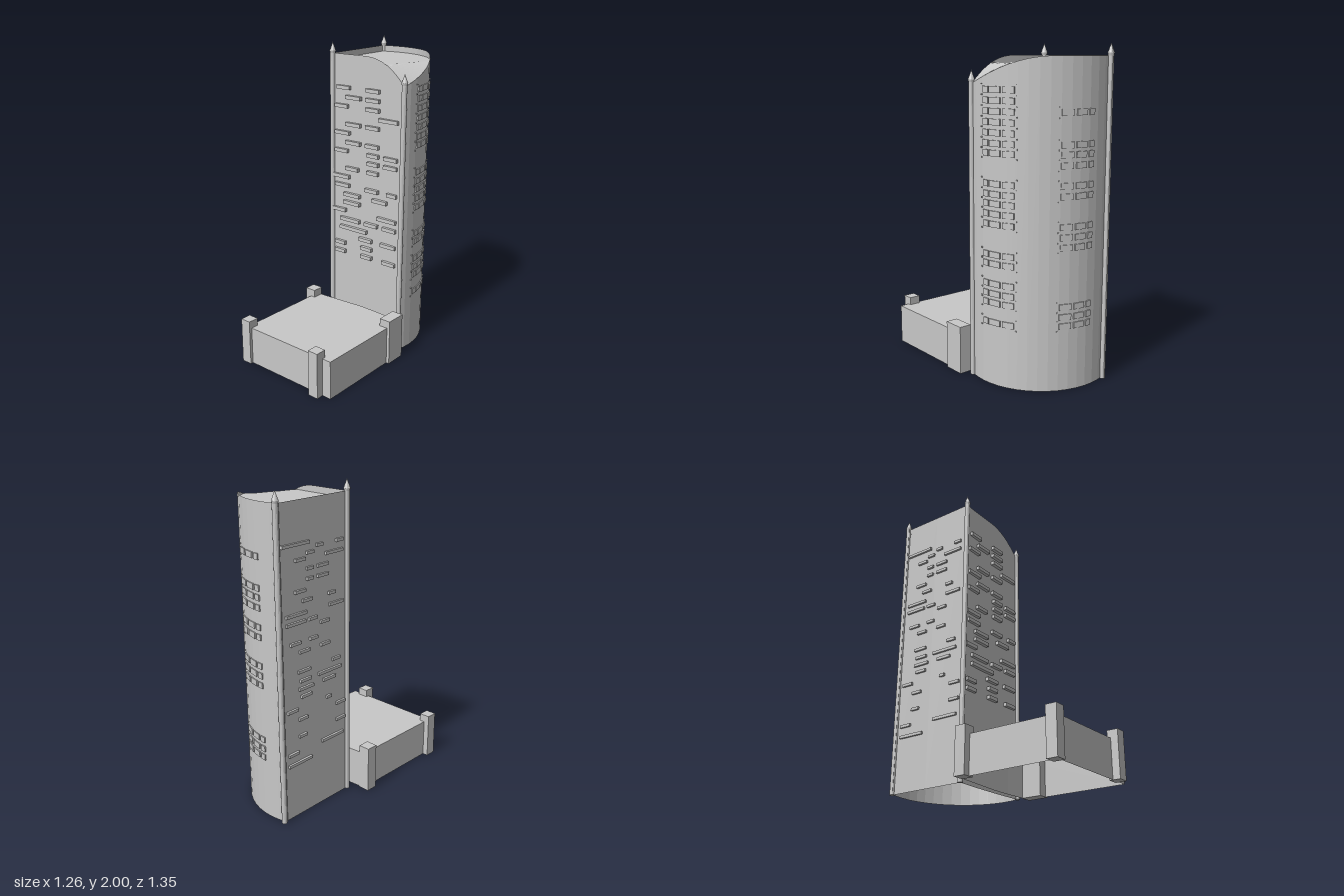
import * as THREE from 'three';

const stone = new THREE.MeshStandardMaterial({ color: 0xc8c8c8, flatShading: true, side: THREE.DoubleSide });
stone.name = 'paleStone';

// Plan corners as [x, z]
const A = [0.01, -0.28], B = [0.41, -0.655], C = [0.395, 0.135];
const TOP = 1.93, ARC_X = 0.184, ARC_Z = -0.26, ARC_R = 0.446;
const arcPoint = z => [ARC_X + Math.sqrt(Math.max(0, ARC_R ** 2 - (z - ARC_Z) ** 2)), z];

// Straight run between two plan points, bowed inwards by a small sag
function run(p, q, n, sag = 0) {
  const dx = q[0] - p[0], dz = q[1] - p[1], l = Math.hypot(dx, dz);
  return Array.from({ length: n + 1 }, (_, i) => {
    const t = i / n, s = 4 * t * (1 - t) * sag;
    return [p[0] + dx * t + dz / l * s, p[1] + dz * t - dx / l * s];
  });
}

// x on a plan polyline for a given z
function xAt(poly, z) {
  for (let i = 0; i < poly.length - 1; i++) {
    const [p, q] = [poly[i], poly[i + 1]];
    if ((z - p[1]) * (z - q[1]) <= 0) return p[0] + (q[0] - p[0]) * (z - p[1]) / (q[1] - p[1]);
  }
  return poly[Math.abs(z - poly[0][1]) < 0.01 ? 0 : poly.length - 1][0];
}

function meshFrom(pos, index, name) {
  const g = new THREE.BufferGeometry();
  g.setAttribute('position', new THREE.Float32BufferAttribute(pos, 3));
  g.setIndex(index);
  g.computeVertexNormals();
  return named(g, name);
}

function named(geometry, name) {
  const m = new THREE.Mesh(geometry, stone);
  m.name = name;
  return m;
}

// Upright wall above a plan polyline, with its top edge set by a rule
function wall(points, height, name) {
  const pos = [], index = [];
  points.forEach(([x, z], i) => {
    pos.push(x, 0, z, x, height(z), z);
    if (i) {
      const a = 2 * i - 2;
      index.push(a, a + 2, a + 3, a, a + 3, a + 1);
    }
  });
  return meshFrom(pos, index, name);
}

// Block lying along the wall from p to q, standing out by a given amount
function block(p, q, y, h, out, name) {
  const dx = q[0] - p[0], dz = q[1] - p[1], l = Math.hypot(dx, dz), d = out + 0.012;
  const m = named(new THREE.BoxGeometry(l, h, d), name), s = out - d / 2;
  m.position.set((p[0] + q[0]) / 2 - dz / l * s, y, (p[1] + q[1]) / 2 + dx / l * s);
  m.rotation.y = Math.atan2(-dz, dx);
  return m;
}

function createTower() {
  const tower = new THREE.Group();
  tower.name = 'tower';
  const drop = (z, start, power) => TOP - 0.16 * Math.max(0, (z - start) / (C[1] - start)) ** power;
  const frontRim = z => drop(z, -0.1, 2.2), arcRim = z => drop(z, -0.34, 2);
  const front = run(A, C, 16, 0.008), back = run(B, A, 2);
  const half = Math.asin((C[1] - ARC_Z) / ARC_R), N = 16;
  const arc = Array.from({ length: N + 1 }, (_, i) => {
    const a = half * (1 - 2 * i / N);
    return [ARC_X + ARC_R * Math.cos(a), ARC_Z + ARC_R * Math.sin(a)];
  });
  tower.add(wall(front, frontRim, 'frontWall'), wall(arc, arcRim, 'curvedWall'), wall(back, () => TOP, 'backWall'));

  // Sloping roof, sunk behind the rim at the back
  const pos = [], index = [], rows = 30, cols = 8;
  for (let i = 0; i <= rows; i++) {
    const z = C[1] + (B[1] - C[1]) * i / rows;
    const x0 = xAt(z > A[1] ? front : back, z), x1 = xAt(arc, z);
    for (let j = 0; j <= cols; j++) {
      const t = j / cols;
      pos.push(x0 + (x1 - x0) * t, Math.min(1.89, frontRim(z) * (1 - t) + arcRim(z) * t), z);
      if (i < rows && j < cols) {
        const a = i * (cols + 1) + j, c = a + cols + 1;
        index.push(a, a + 1, c + 1, a, c + 1, c);
      }
    }
  }
  const roof = meshFrom(pos, index, 'roof');
  tower.add(roof);

  // Corner columns with pointed tips
  for (const [[x, z], h] of [[A, TOP], [B, TOP], [C, 1.78]]) {
    const profile = [[0, 0], [0.017, 0], [0.017, h], [0.02, h + 0.015], [0, h + 0.07]];
    const column = named(new THREE.LatheGeometry(profile.map(p => new THREE.Vector2(...p)), 12), 'cornerColumn');
    column.position.set(x, 0, z);
    tower.add(column);
  }
  return tower;
}

// Scattered ledges: each row is a height followed by start, end pairs in hundredths
const frontLedges = [
  [172, 4, 11, 20, 27], [166, 9, 17, 20, 27], [160, 3, 10, 20, 27], [154.5, 27, 37], [148.5, 9, 17, 20, 27],
  [142.5, 3, 11], [136.5, 9, 17, 20, 27], [130.5, 3, 10, 21, 27, 30, 37], [125, 21, 27, 30, 37],
  [119, 9, 16, 21, 27], [113, 2, 11], [107, 3, 11, 20, 27, 32, 37], [101, 8, 17, 24, 32], [95.5, 8, 17],
  [89.5, 2, 9, 27, 37], [83.5, 6, 17, 20, 27, 30, 37], [77.5, 6, 21], [72, 17, 24, 29, 37],
  [66, 3, 9, 18, 24], [60, 3, 9, 18, 24, 30, 37]];
const backLedges = [
  [169, 5, 43], [166, 53, 62, 82, 92], [163, 39, 49], [160, 23, 37, 66, 92], [154, 39, 48, 54, 70],
  [148, 39, 48, 54, 70], [142, 22, 37], [136, 32, 46, 70, 80], [129, 9, 38, 71, 92], [124, 9, 36, 41, 53],
  [120, 58, 71], [112, 14, 29, 42, 53], [106, 27, 41, 58, 71], [94, 24, 42, 75, 87], [88, 27, 43, 54, 89],
  [83, 25, 46, 61, 80], [78, 28, 43], [71, 8, 23, 66, 73], [64, 24, 37, 81, 95], [53, 24, 35, 81, 95],
  [43, 8, 23, 58, 92], [36, 8, 42]];

function addLedges(group, rows, from, to, fraction, out, h) {
  const at = v => [from[0] + (to[0] - from[0]) * fraction(v), from[1] + (to[1] - from[1]) * fraction(v)];
  for (const [y, ...spans] of rows)
    for (let i = 0; i < spans.length; i += 2)
      group.add(block(at(spans[i]), at(spans[i + 1]), y / 100, h, out, 'wallLedge'));
}

// Rows of three panes with small studs on the curved wall
const bays = [
  { panes: [[0.058, 0.028], [0.022, -0.042], [-0.055, -0.122]], studs: [0.068, -0.135],
    rows: [1.745, 1.685, 1.625, 1.565, 1.505, 1.445, 1.39, 1.215, 1.155, 1.1, 1.04, 0.98, 0.8, 0.745, 0.625, 0.565, 0.51, 0.39] },
  { panes: [[-0.38, -0.45], [-0.465, -0.522], [-0.535, -0.562]], studs: [-0.37],
    rows: [1.625, 1.445, 1.39, 1.33, 1.215, 1.155, 0.98, 0.92, 0.86, 0.51, 0.45, 0.395] }];

function createWindows() {
  const windows = new THREE.Group();
  windows.name = 'windows';
  addLedges(windows, frontLedges, A, C, v => (v / 100 - A[0]) / (C[0] - A[0]), 0.016, 0.024);
  addLedges(windows, backLedges, B, A, v => v / 100, 0.014, 0.018);
  for (const { panes, studs, rows } of bays)
    for (const y of rows) {
      for (const [a, b] of panes) windows.add(block(arcPoint(a), arcPoint(b), y, 0.036, 0.007, 'windowPane'));
      for (const s of studs)
        for (const dy of [-0.03, 0.03])
          windows.add(block(arcPoint(s + 0.003), arcPoint(s - 0.003), y + dy, 0.007, 0.006, 'windowStud'));
    }
  return windows;
}

function createPodium() {
  const podium = new THREE.Group();
  podium.name = 'podium';
  const plan = [[-0.595, 0.16], [-0.12, 0.675], [0.39, 0.2], [0.35, 0.16], [0.26, 0.05], [0.17, -0.05], [-0.1, -0.295]];
  podium.add(wall([...plan, plan[0]], () => 0.25, 'podiumWalls'));
  const deck = named(new THREE.ShapeGeometry(new THREE.Shape(plan.map(([x, z]) => new THREE.Vector2(x, -z)))), 'podiumDeck');
  deck.rotation.x = -Math.PI / 2;
  deck.position.y = 0.25;
  podium.add(deck);

  // Corner piers: centre x, z, width, depth
  for (const [x, z, w, d] of [[-0.125, -0.28, 0.076, 0.076], [-0.583, 0.149, 0.072, 0.072], [-0.195, 0.612, 0.072, 0.072], [0.328, 0.232, 0.14, 0.078]]) {
    const pier = named(new THREE.BoxGeometry(w, 0.3, d), 'cornerPier');
    pier.position.set(x, 0.15, z);
    pier.rotation.y = 0.75;
    podium.add(pier);
  }
  return podium;
}

export function createModel() {
  const model = new THREE.Group();
  model.name = 'towerAndPodium';
  model.add(createTower(), createWindows(), createPodium());
  return model;
}
